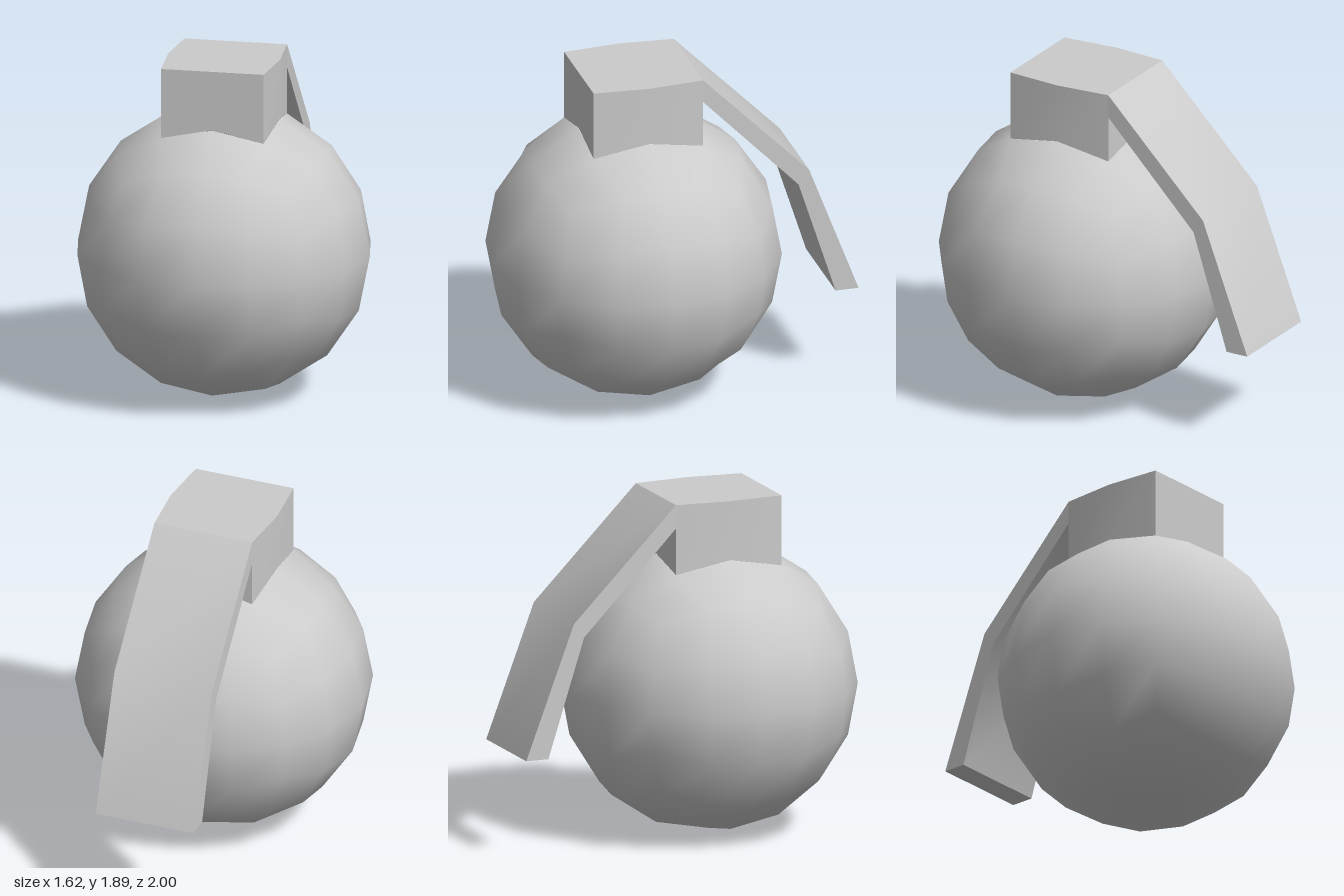
import * as THREE from 'three';
import { toCreasedNormals } from 'three/addons/utils/BufferGeometryUtils.js';

const R = 0.81, CY = 0.81, CZ = 0.19;   // body radius and centre
const HALF = 0.285, DEPTH = 0.31;       // half width and half depth of the cap
const TOP = 1.89;
const CREASE = Math.PI / 6;

const material = new THREE.MeshStandardMaterial({ color: 0xcccccc });

function part(name, geometry) {
  const mesh = new THREE.Mesh(geometry, material);
  mesh.name = name;
  return mesh;
}

// Round body: a subdivided cube blown up to a sphere, open under the cap
function bodyGeometry() {
  const geo = new THREE.BoxGeometry(2, 2, 2, 4, 4, 4);
  const pos = geo.attributes.position, normal = geo.attributes.normal;
  const v = new THREE.Vector3();
  for (let i = 0; i < pos.count; i++) {
    v.fromBufferAttribute(pos, i);
    const capCorner = v.y > 0.9 && Math.abs(v.x) === 0.5 && Math.abs(v.z) === 0.5;
    v.set(...v.toArray().map((c) => Math.tan((c * Math.PI) / 4))).normalize();
    normal.setXYZ(i, v.x, v.y, v.z);
    v.multiplyScalar(R);
    // corners of the opening meet the corners of the cap
    if (capCorner) v.set(Math.sign(v.x) * HALF, 1.5 - CY, Math.sign(v.z) * DEPTH);
    pos.setXYZ(i, v.x, v.y + CY, v.z + CZ);
  }
  const index = [...geo.index.array], kept = [];
  for (let i = 0; i < index.length; i += 3) {
    const tri = index.slice(i, i + 3);
    if (tri.some((k) => pos.getY(k) < 1.49)) kept.push(...tri);
  }
  geo.setIndex(kept);
  geo.clearGroups();
  return geo;
}

// Cap: box with slightly bowed sides and a lower edge that follows the body
function capGeometry() {
  const geo = new THREE.BoxGeometry(2, 2, 2, 2, 1, 2);
  const pos = geo.attributes.position;
  for (let i = 0; i < pos.count; i++) {
    const x = pos.getX(i), y = pos.getY(i), z = pos.getZ(i);
    const low = x !== 0 && z !== 0 ? 1.5 : 1.56;
    pos.setXYZ(i, x * (z === 0 ? 0.31 : HALF), y > 0 ? TOP : low, z * DEPTH + CZ);
  }
  // leave out the underside
  const under = geo.groups[3];
  geo.setIndex([...geo.index.array].filter((_, i) => i < under.start || i >= under.start + under.count));
  geo.clearGroups();
  return toCreasedNormals(geo, CREASE);
}

// Lever: bent strip running from the back of the cap down behind the body
function leverGeometry() {
  const profile = [
    [0.12, TOP], [0.12, 1.76], [0.66, 1.2], [0.87, 0.54], [1.0, 0.54], [0.72, 1.28],
  ].map(([back, y]) => new THREE.Vector2(back, y));
  const geo = new THREE.ExtrudeGeometry(new THREE.Shape(profile), { depth: 2 * HALF, bevelEnabled: false });
  geo.rotateY(Math.PI / 2).translate(-HALF, 0, 0);
  geo.clearGroups();
  return toCreasedNormals(geo, CREASE);
}

export function createModel() {
  const group = new THREE.Group();
  group.name = 'roundShellWithLever';
  group.add(
    part('body', bodyGeometry()),
    part('cap', capGeometry()),
    part('lever', leverGeometry()),
  );
  return group;
}
